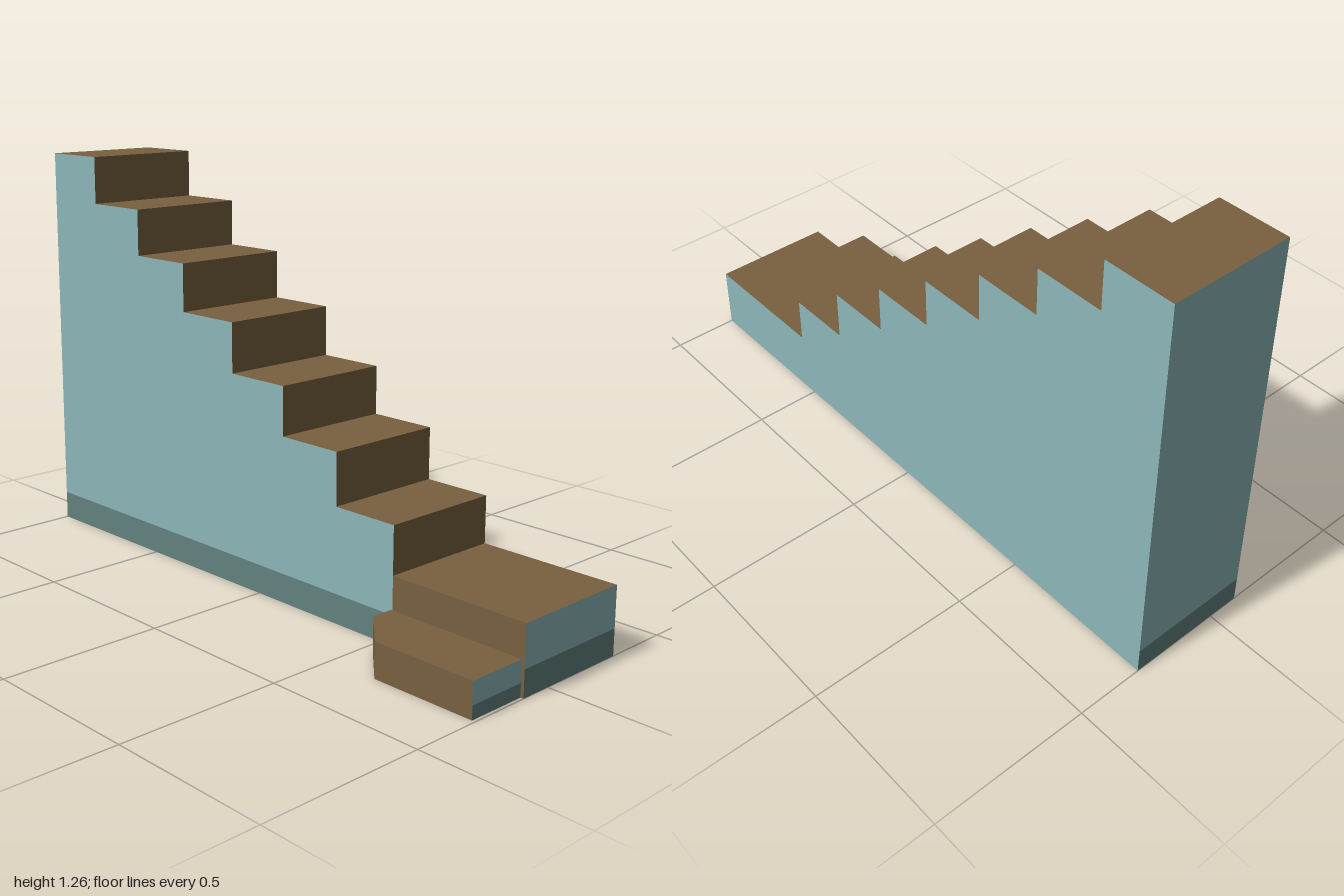
import * as THREE from 'three';

const paint = (name, color) => {
  const m = new THREE.MeshStandardMaterial({ color });
  m.name = name;
  return m;
};

export function createModel() {
  const model = new THREE.Group();
  model.name = 'staircase';
  const wood = paint('brown wood', 0x78613f);
  const wall = paint('pale teal wall', 0x8db7ba);
  const base = paint('dark teal skirting', 0x63827f);

  // One flat convex panel; corners run counter-clockwise seen from outside
  const panel = (parent, name, material, corners) => {
    const pos = [];
    for (let i = 1; i < corners.length - 1; i++) pos.push(...corners[0], ...corners[i], ...corners[i + 1]);
    const geo = new THREE.BufferGeometry();
    geo.setAttribute('position', new THREE.Float32BufferAttribute(pos, 3));
    geo.computeVertexNormals();
    const mesh = new THREE.Mesh(geo, material);
    mesh.name = name;
    parent.add(mesh);
  };
  // Panels facing +z / -z, +x / -x, and up / down
  const zPanel = (g, n, m, x0, x1, y0, y1, z, back) => {
    const c = [[x0, y0, z], [x1, y0, z], [x1, y1, z], [x0, y1, z]];
    panel(g, n, m, back ? c.reverse() : c);
  };
  const xPanel = (g, n, m, x, y0, y1, z0, z1, left) => {
    const c = [[x, y0, z1], [x, y0, z0], [x, y1, z0], [x, y1, z1]];
    panel(g, n, m, left ? c.reverse() : c);
  };
  const yPanel = (g, n, m, y, x0, x1, z0, z1, down) => {
    const c = [[x0, y, z1], [x1, y, z1], [x1, y, z0], [x0, y, z0]];
    panel(g, n, m, down ? c.reverse() : c);
  };

  // Main flight, highest step first
  const flight = new THREE.Group();
  flight.name = 'flight';
  model.add(flight);
  const xs = [-1, -0.78, -0.56, -0.34, -0.115, 0.105, 0.325, 0.545, 1];
  const tops = [1.26, 1.11, 0.965, 0.815, 0.66, 0.51, 0.35, 0.205];
  const back = -0.29, front = 0.1, skirt = 0.09, endSkirt = 0.08;
  const last = tops.length - 1;
  tops.forEach((y, i) => {
    const x0 = xs[i], x1 = xs[i + 1];
    yPanel(flight, 'tread', wood, y, x0, x1, back, front);
    zPanel(flight, 'backWall', wall, x0, x1, 0, y, back, true);
    if (i < last) {
      xPanel(flight, 'riser', wood, x1, tops[i + 1], y, back, front);
      zPanel(flight, 'frontWall', wall, x0, x1, skirt, y, front);
    }
  });
  zPanel(flight, 'frontSkirting', base, -1, xs[last], 0, skirt, front);
  zPanel(flight, 'bottomStepFront', wood, xs[last], 1, 0, tops[last], front);

  // End walls with skirting
  for (const [x, top, left] of [[-1, tops[0], true], [1, tops[last], false]]) {
    xPanel(flight, 'endWall', wall, x, endSkirt, top, back, front, left);
    xPanel(flight, 'endSkirting', base, x, 0, endSkirt, back, front, left);
  }

  // Underside in two bands
  yPanel(flight, 'undersideBack', wall, 0, -1, 1, back, -0.1, true);
  yPanel(flight, 'undersideFront', base, 0, -1, 1, -0.1, front, true);

  // Low side step with one clipped corner
  const step = new THREE.Group();
  step.name = 'sideStep';
  model.add(step);
  const h = 0.105, stripe = 0.04, mid = 0.19, midX = 0.56;
  const outline = [[0.54, front], [0.54, 0.17], [0.66, 0.29], [0.99, 0.29], [0.99, front]];
  panel(step, 'sideStepTread', wood, outline.map(([x, z]) => [x, h, z]));
  for (let i = 0; i < 3; i++) {
    const [[ax, az], [bx, bz]] = [outline[i], outline[i + 1]];
    panel(step, 'sideStepFace', wood, [[ax, 0, az], [bx, 0, bz], [bx, h, bz], [ax, h, az]]);
  }
  xPanel(step, 'sideStepEnd', wall, 0.99, stripe, h, front, 0.29);
  xPanel(step, 'sideStepEndSkirting', base, 0.99, 0, stripe, front, 0.29);
  panel(step, 'sideStepUndersideBack', wall,
    [[0.54, 0, front], [0.99, 0, front], [0.99, 0, mid], [midX, 0, mid], [0.54, 0, 0.17]]);
  panel(step, 'sideStepUndersideFront', base,
    [[midX, 0, mid], [0.99, 0, mid], [0.99, 0, 0.29], [0.66, 0, 0.29]]);

  return model;
}
